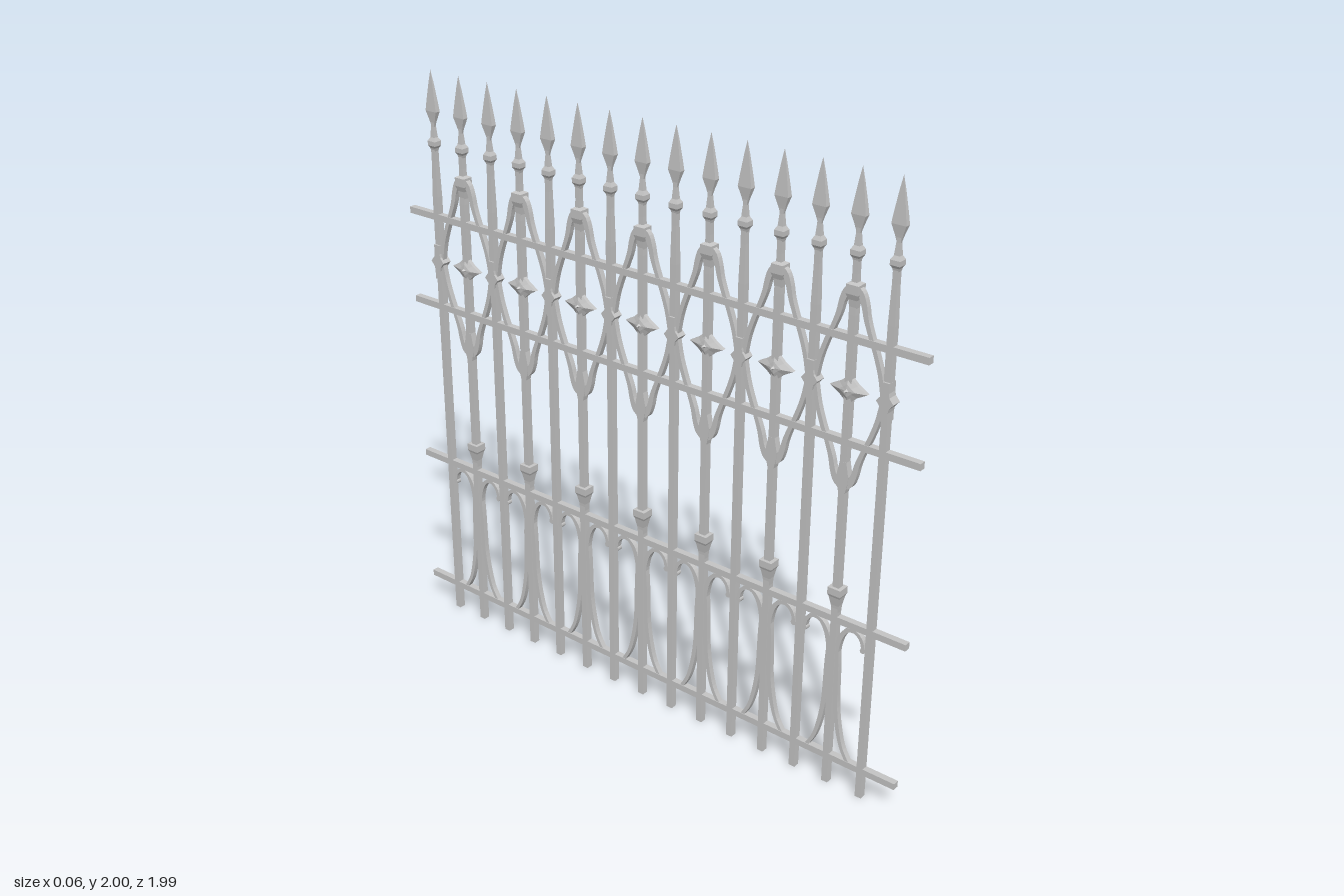
import * as THREE from 'three';

const iron = new THREE.MeshStandardMaterial({ color: 0xc4c4c4 });
iron.name = 'wrought iron grey';

function flat(geo) {
  const g = geo.index ? geo.toNonIndexed() : geo;
  g.computeVertexNormals();
  return g;
}

// Square-section bar from [halfWidth, y] pairs, listed bottom to top
function square(profile, xScale = 1) {
  const g = new THREE.LatheGeometry(
    profile.map(([r, y]) => new THREE.Vector2(r * Math.SQRT2, y)), 4);
  return flat(g.rotateY(Math.PI / 4).scale(xScale, 1, 1));
}

// Flat plate in the plane of the fence; shape x runs along world z
function plate(points, depth) {
  const g = new THREE.ExtrudeGeometry(new THREE.Shape(points), { depth, bevelEnabled: false });
  return g.translate(0, 0, -depth / 2).rotateY(-Math.PI / 2);
}

// Symmetrical plate from one side's [offset, y] outline
function symmetricPlate(half, depth) {
  return plate([...half.map(([o, y]) => new THREE.Vector2(o, y)),
    ...[...half].reverse().map(([o, y]) => new THREE.Vector2(-o, y))], depth);
}

// Curved bar through [offset, y, halfWidth] stations
function bar(stations, side, depth, steps = 20) {
  const curve = new THREE.CatmullRomCurve3(
    stations.map(([o, y, w]) => new THREE.Vector3(o * side, y, w)), false, 'centripetal');
  const a = [], b = [];
  for (let i = 0; i <= steps; i++) {
    const p = curve.getPoint(i / steps), t = curve.getTangent(i / steps);
    const l = Math.hypot(t.x, t.y);
    a.push(new THREE.Vector2(p.x - t.y / l * p.z, p.y + t.x / l * p.z));
    b.unshift(new THREE.Vector2(p.x + t.y / l * p.z, p.y - t.x / l * p.z));
  }
  return plate([...a, ...b], depth);
}

// Four-pointed star with a raised, spiked middle on both faces
function starGeometry() {
  const quarter = [[0.062, 0], [0.03, 0.018], [0.02, 0.027], [0, 0.044]];
  const rim = [];
  [[1, 1], [-1, 1], [-1, -1], [1, -1]].forEach(([sz, sy], k) => {
    const q = k % 2 ? [...quarter].reverse() : quarter;
    q.slice(0, 3).forEach(([z, y]) => rim.push([z * sz, y * sy]));
  });
  // Rings as [x, scale]: rim, raised face, foot of the spike, tip
  const rings = [[0.006, 1], [0.015, 0.45], [0.017, 0.13], [0.031, 0]];
  const pos = [];
  for (const s of [1, -1]) {
    rim.forEach((p, i) => {
      const q = rim[(i + 1) % rim.length];
      const [m, n] = s > 0 ? [q, p] : [p, q];
      const at = ([x, k], [z, y]) => [x * s, y * k, z * k];
      for (let r = 0; r < 3; r++) {
        const lo = rings[r], hi = rings[r + 1];
        pos.push(...at(lo, m), ...at(lo, n), ...at(hi, n));
        pos.push(...at(lo, m), ...at(hi, n), ...at(hi, m));
      }
      // Edge of the star
      const front = [0.006, 1], back = [0, 1];
      pos.push(...at(back, m), ...at(back, n), ...at(front, n));
      pos.push(...at(back, m), ...at(front, n), ...at(front, m));
    });
  }
  const g = new THREE.BufferGeometry();
  g.setAttribute('position', new THREE.Float32BufferAttribute(pos, 3));
  return flat(g);
}

const MID = 1.355; // height of the ornament band's centre line

export function createModel() {
  const fence = new THREE.Group();
  fence.name = 'fence';
  const add = (parent, name, geo, y = 0, z = 0) => {
    const m = new THREE.Mesh(geo, iron);
    m.name = name;
    m.position.set(0, y, z);
    parent.add(m);
  };

  // Horizontal rails
  const rail = new THREE.BoxGeometry(0.022, 0.022, 1.99);
  [0.1, 0.602, 1.193, 1.511].forEach((y) => add(fence, 'rail', rail, y));

  // Post and finial shared by every picket
  const post = square([[0, 0], [0.011, 0], [0.011, 1.58], [0.0085, 1.7], [0.0085, 1.74]]);
  const collar = square([[0.0085, 1.735], [0.011, 1.745], [0.016, 1.753], [0.016, 1.768],
    [0.009, 1.78], [0.006, 1.815], [0.006, 1.83]], 0.9);
  const spear = square([[0.006, 1.815], [0.013, 1.838], [0.023, 1.866], [0.018, 1.9],
    [0.008, 1.96], [0, 2]], 0.4);

  // Ogee arms of the ornament band, upper set and its mirror image
  const ogee = [[0.012, 1.66, 0.007], [0.024, 1.645, 0.01], [0.036, 1.615, 0.009],
    [0.044, 1.58, 0.008], [0.058, 1.54, 0.007], [0.082, 1.48, 0.007],
    [0.1, 1.425, 0.007], [0.112, 1.365, 0.007]];
  const lowerOgee = ogee.map(([o, y, w]) => [o, 2 * MID - y, w]);
  const sleeve = square([[0.011, 1.6], [0.014, 1.625], [0.02, 1.642],
    [0.02, 1.67], [0.009, 1.676]], 0.92);
  const dropTip = symmetricPlate([[0.011, 1.03], [0.018, 1.06], [0.02, 1.085], [0.011, 1.13]], 0.0225);

  // Clasp on the plain pickets where the arms meet
  const clasp = symmetricPlate([[0.0115, 1.295], [0.0115, 1.325], [0.014, 1.338], [0.028, 1.355],
    [0.014, 1.372], [0.0115, 1.385], [0.0115, 1.415]], 0.034);

  const star = starGeometry();

  // Lower panel: cup, spreading leg and arch with a curled end
  const cup = square([[0.011, 0.625], [0.013, 0.65], [0.019, 0.68], [0.0225, 0.688],
    [0.0225, 0.711], [0.011, 0.712]], 0.9);
  const leg = [[0.012, 0.52, 0.008], [0.014, 0.44, 0.011], [0.017, 0.36, 0.01],
    [0.022, 0.29, 0.008], [0.035, 0.21, 0.007], [0.052, 0.15, 0.006], [0.077, 0.105, 0.006]];
  const arch = [[0.013, 0.46, 0.007], [0.016, 0.51, 0.008], [0.028, 0.553, 0.008],
    [0.05, 0.58, 0.006], [0.075, 0.584, 0.006], [0.097, 0.565, 0.006], [0.107, 0.53, 0.006]];
  const curl = new THREE.CylinderGeometry(0.009, 0.009, 0.018, 8).rotateZ(Math.PI / 2);

  const sideBars = [1, -1].map((s) => ({
    side: s,
    parts: [['upperArm', bar(ogee, s, 0.018)], ['lowerArm', bar(lowerOgee, s, 0.018)],
      ['leg', bar(leg, s, 0.018)], ['arch', bar(arch, s, 0.018)]],
  }));

  for (let i = -7; i <= 7; i++) {
    const picket = new THREE.Group();
    const ornate = i % 2 === 0;
    picket.name = ornate ? 'ornatePicket' : 'plainPicket';
    picket.position.z = i * 0.1245;
    fence.add(picket);
    add(picket, 'post', post);
    add(picket, 'finialCollar', collar);
    add(picket, 'spearhead', spear);
    if (!ornate) {
      add(picket, 'clasp', clasp);
      continue;
    }
    add(picket, 'sleeve', sleeve);
    add(picket, 'dropTip', dropTip);
    add(picket, 'star', star, MID);
    add(picket, 'cup', cup);
    sideBars.forEach(({ side, parts }) => {
      parts.forEach(([name, geo]) => add(picket, name, geo));
      add(picket, 'archCurl', curl, 0.53, side * 0.104);
    });
  }
  return fence;
}
